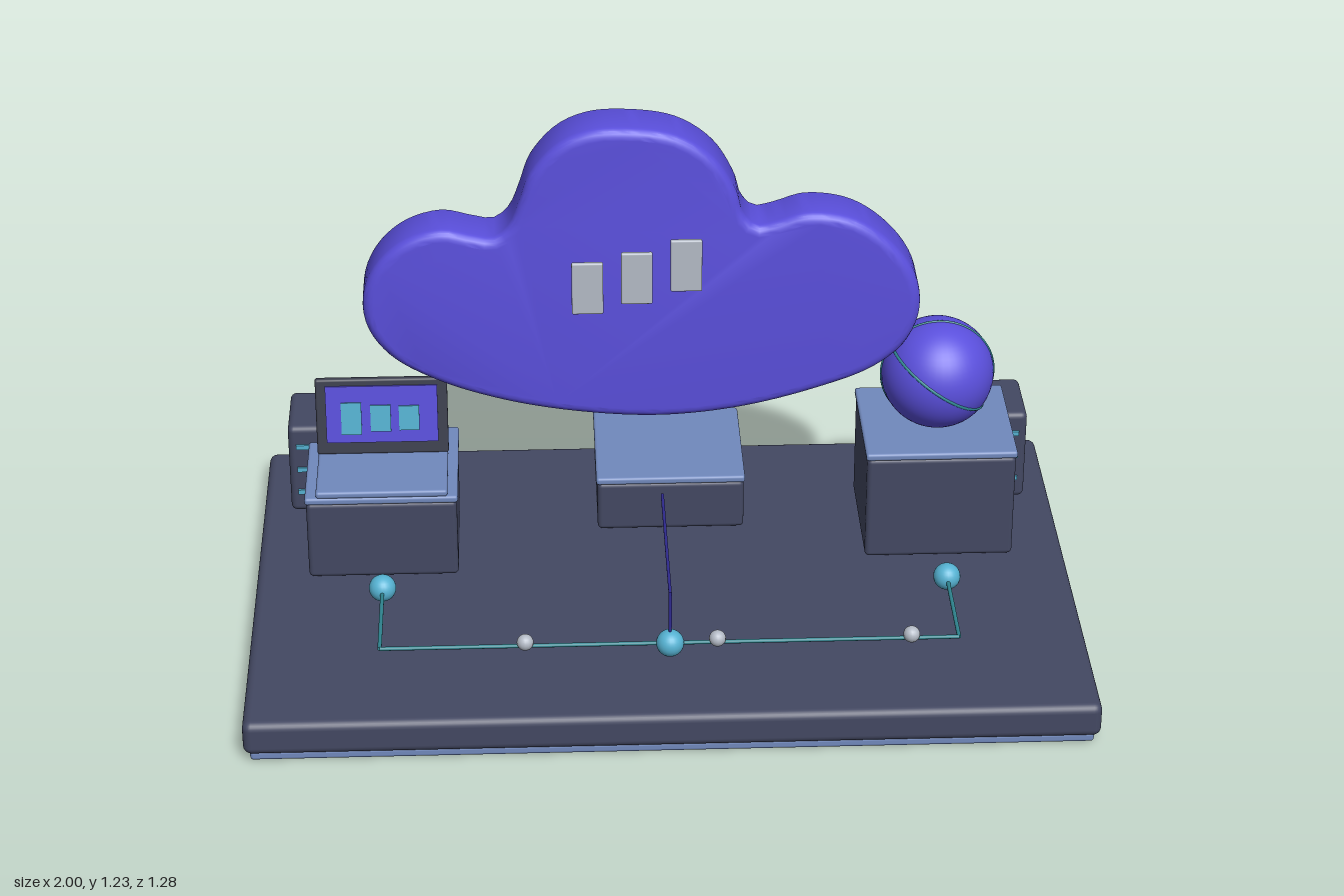
import * as THREE from 'three';
import { RoundedBoxGeometry } from 'three/addons/geometries/RoundedBoxGeometry.js';
import { toCreasedNormals } from 'three/addons/utils/BufferGeometryUtils.js';

const mat = (name, color) => {
  const m = new THREE.MeshStandardMaterial({ color });
  m.name = name;
  return m;
};

export function createModel() {
  const slate = mat('slate', 0x434862);
  const charcoal = mat('charcoal', 0x3d404e);
  const steel = mat('steelBlue', 0x7189bd);
  const violet = mat('violet', 0x5a4fdc);
  const indigo = mat('indigo', 0x2f2a90);
  const cyan = mat('cyan', 0x55b2d2);
  const teal = mat('teal', 0x2f8590);
  const silver = mat('silver', 0xb4bbc6);

  const model = new THREE.Group();
  model.name = 'cloudNetworkDisplay';

  const add = (name, geometry, material, x = 0, y = 0, z = 0, parent = model) => {
    const mesh = new THREE.Mesh(geometry, material);
    mesh.name = name;
    mesh.position.set(x, y, z);
    parent.add(mesh);
    return mesh;
  };
  // Rounded block given by its extents
  const block = (name, material, x0, x1, y0, y1, z0, z1, r, parent = model) =>
    add(name, new RoundedBoxGeometry(x1 - x0, y1 - y0, z1 - z0, 3, r), material,
      (x0 + x1) / 2, (y0 + y1) / 2, (z0 + z1) / 2, parent);
  // Thin rod between two points
  const rod = (name, material, a, b, r) => {
    const from = new THREE.Vector3(...a), to = new THREE.Vector3(...b);
    const dir = to.clone().sub(from);
    const mid = from.clone().add(to).multiplyScalar(0.5);
    const mesh = add(name, new THREE.CylinderGeometry(r, r, dir.length(), 10), material, mid.x, mid.y, mid.z);
    mesh.quaternion.setFromUnitVectors(new THREE.Vector3(0, 1, 0), dir.normalize());
  };

  // Base slab with a trim underneath
  block('baseSlab', slate, -1, 1, 0.02, 0.106, -0.64, 0.64, 0.02);
  block('baseTrim', steel, -0.985, 0.985, 0, 0.024, -0.627, 0.627, 0.008);

  // Pedestals and their top plates: [name, x0, x1, top, z0, z1]
  for (const [name, x0, x1, top, z0, z1] of [
    ['left', -0.87, -0.503, 0.32, -0.342, 0.002],
    ['centre', -0.156, 0.21, 0.244, -0.552, -0.2],
    ['right', 0.502, 0.868, 0.388, -0.383, -0.042],
  ]) {
    block(name + 'Pedestal', slate, x0, x1, 0.112, top, z0, z1, 0.012);
    block(name + 'PedestalTop', steel, x0 - 0.003, x1 + 0.003, top - 0.002, top + 0.017, z0 - 0.004, z1 + 0.004, 0.007);
  }

  // Server towers with status lights
  for (const s of [-1, 1]) {
    const tower = new THREE.Group();
    tower.name = s < 0 ? 'rightTower' : 'leftTower';
    model.add(tower);
    tower.position.x = s * 0.87;
    block('towerCase', slate, -0.055, 0.055, 0.14, 0.38, -0.467, -0.275, 0.015, tower);
    for (const y of [0.198, 0.262, 0.326])
      add('towerLight', new THREE.BoxGeometry(0.07, 0.012, 0.008), cyan, 0, y, -0.273, tower);
  }

  // Laptop: base and slightly reclined screen
  block('laptopBase', steel, -0.845, -0.525, 0.336, 0.354, -0.205, 0.006, 0.007);
  const screen = new THREE.Group();
  screen.name = 'laptopScreen';
  screen.position.set(-0.685, 0.352, -0.194);
  screen.rotation.x = -0.1;
  model.add(screen);
  block('screenFrame', charcoal, -0.162, 0.162, 0, 0.2, -0.01, 0.01, 0.006, screen);
  add('screenDisplay', new THREE.BoxGeometry(0.275, 0.15, 0.005), violet, 0, 0.108, 0.0115, screen);
  for (const [x, h] of [[-0.075, 0.085], [-0.003, 0.07], [0.067, 0.065]])
    add('screenBar', new THREE.BoxGeometry(0.05, h, 0.004), cyan, x, 0.098, 0.0155, screen);

  // Cloud: smooth outline extruded with a soft rim
  const outline = [
    [-0.095, 1.232], [0.037, 1.212], [0.128, 1.15], [0.182, 1.06], [0.198, 1.005], [0.23, 0.972],
    [0.278, 0.98], [0.353, 1.002], [0.465, 0.984], [0.561, 0.914], [0.62, 0.823], [0.63, 0.727],
    [0.594, 0.642], [0.519, 0.578], [0.385, 0.524], [0.198, 0.475], [0, 0.455], [-0.203, 0.47],
    [-0.39, 0.508], [-0.551, 0.567], [-0.658, 0.636], [-0.711, 0.717], [-0.717, 0.802],
    [-0.684, 0.882], [-0.615, 0.946], [-0.524, 0.973], [-0.455, 0.958], [-0.401, 0.95],
    [-0.364, 0.98], [-0.337, 1.043], [-0.31, 1.118], [-0.246, 1.192], [-0.176, 1.225],
  ].map(([x, y]) => new THREE.Vector3(x, y, 0)).reverse();
  const curve = new THREE.CatmullRomCurve3(outline, true, 'centripetal');
  const cloudShape = new THREE.Shape(curve.getSpacedPoints(160).slice(0, -1).map(p => new THREE.Vector2(p.x, p.y)));
  const cloudGeometry = new THREE.ExtrudeGeometry(cloudShape, {
    depth: 0.098, bevelEnabled: true, bevelThickness: 0.025, bevelSize: 0.025, bevelOffset: -0.025, bevelSegments: 5,
  });
  add('cloud', toCreasedNormals(cloudGeometry, 0.6), violet, 0, 0, -0.276);

  // Cards floating in front of the cloud
  for (const [x, y] of [[-0.177, 0.828], [-0.058, 0.853], [0.061, 0.885]])
    block('cloudCard', silver, x - 0.038, x + 0.038, y - 0.068, y + 0.068, -0.14, -0.126, 0.004);

  // Globe with two rings
  const globe = new THREE.Group();
  globe.name = 'globe';
  globe.position.set(0.685, 0.54, -0.212);
  model.add(globe);
  add('globeBall', new THREE.SphereGeometry(0.139, 48, 32), violet, 0, 0, 0, globe);
  const ring = new THREE.TorusGeometry(0.138, 0.004, 8, 72);
  add('meridianRing', ring, teal, 0, 0, 0, globe);
  add('tiltedRing', ring, teal, 0, 0, 0, globe).rotation.set(Math.PI / 2, -0.6, 0, 'ZXY');
  globe.children[2].rotation.set(Math.PI / 2, 0, -0.6, 'ZXY');

  // Network path with nodes and travelling packets
  const py = 0.164, pz = 0.414, px = 0.685;
  rod('frontPath', teal, [-px, py, pz], [px, py, pz], 0.005);
  for (const s of [-1, 1]) {
    rod('sidePath', teal, [s * px, py, pz], [s * px, py, 0.14], 0.005);
    add('sideNode', new THREE.SphereGeometry(0.033, 24, 16), cyan, s * px, py, 0.14);
  }
  add('centreNode', new THREE.SphereGeometry(0.033, 24, 16), cyan, 0, py, pz);
  for (const x of [-0.342, 0.112, 0.572])
    add('packet', new THREE.SphereGeometry(0.02, 16, 12), silver, x, 0.174, pz);

  // Uplink from the centre node towards the cloud
  rod('uplinkRiser', indigo, [0, py, pz], [0, 0.304, pz], 0.004);
  rod('uplinkRun', indigo, [0, 0.302, pz + 0.004], [0, 0.298, -0.05], 0.004);

  return model;
}
